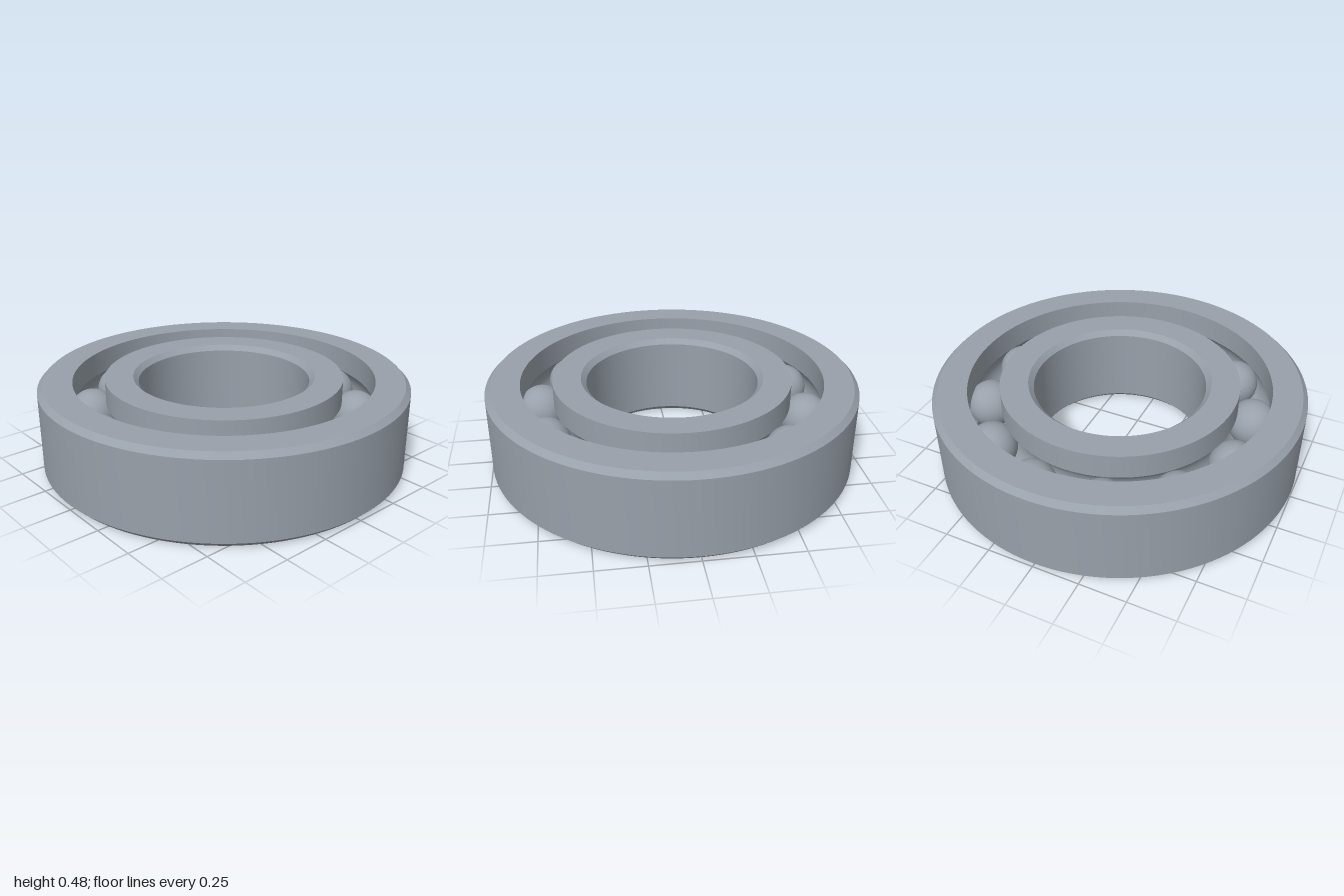
import * as THREE from 'three';
import { toCreasedNormals } from 'three/addons/utils/BufferGeometryUtils.js';

const HEIGHT = 0.476, MID = HEIGHT / 2, CHAMFER = 0.028;
const PITCH = 0.73, BALL_RADIUS = 0.132, GROOVE_RADIUS = 0.134, HALF_GAP = 0.085;
const BALL_COUNT = 12, FIRST_BALL = THREE.MathUtils.degToRad(12);

// Raceway arc, centred on the ball circle
function groove(start, end, steps = 14) {
  return Array.from({ length: steps + 1 }, (_, i) => {
    const a = start + (end - start) * i / steps;
    return [PITCH + GROOVE_RADIUS * Math.cos(a), MID + GROOVE_RADIUS * Math.sin(a)];
  });
}

// Closed profile (anticlockwise) spun around y, with crisp edges
function ring(name, profile, material) {
  const points = [...profile, profile[0]].map(([x, y]) => new THREE.Vector2(x, y));
  const geometry = toCreasedNormals(new THREE.LatheGeometry(points, 120), Math.PI / 7);
  const mesh = new THREE.Mesh(geometry, material);
  mesh.name = name;
  return mesh;
}

export function createModel() {
  const steel = new THREE.MeshStandardMaterial({ color: 0x98a0aa });
  steel.name = 'steel';
  const model = new THREE.Group();
  model.name = 'ballBearing';

  const opening = Math.acos(HALF_GAP / GROOVE_RADIUS);
  const outerRace = PITCH + HALF_GAP, innerRace = PITCH - HALF_GAP, bore = 0.465;

  // Outer ring: chamfered outside, raceway on its inside wall
  model.add(ring('outerRing', [
    [outerRace, 0], [1 - CHAMFER, 0], [1, CHAMFER],
    [1, HEIGHT - CHAMFER], [1 - CHAMFER, HEIGHT], [outerRace, HEIGHT],
    ...groove(opening, -opening),
  ], steel));

  // Inner ring: chamfered bore, raceway on its outside wall
  model.add(ring('innerRing', [
    [bore + CHAMFER, 0], [innerRace, 0],
    ...groove(Math.PI + opening, Math.PI - opening),
    [innerRace, HEIGHT], [bore + CHAMFER, HEIGHT],
    [bore, HEIGHT - CHAMFER], [bore, CHAMFER],
  ], steel));

  // Balls evenly spaced between the rings
  const balls = new THREE.Group();
  balls.name = 'balls';
  const ballGeometry = new THREE.SphereGeometry(BALL_RADIUS, 40, 28);
  for (let i = 0; i < BALL_COUNT; i++) {
    const a = FIRST_BALL + i * Math.PI * 2 / BALL_COUNT;
    const ball = new THREE.Mesh(ballGeometry, steel);
    ball.name = 'ball';
    ball.position.set(PITCH * Math.cos(a), MID, PITCH * Math.sin(a));
    balls.add(ball);
  }
  model.add(balls);
  return model;
}
